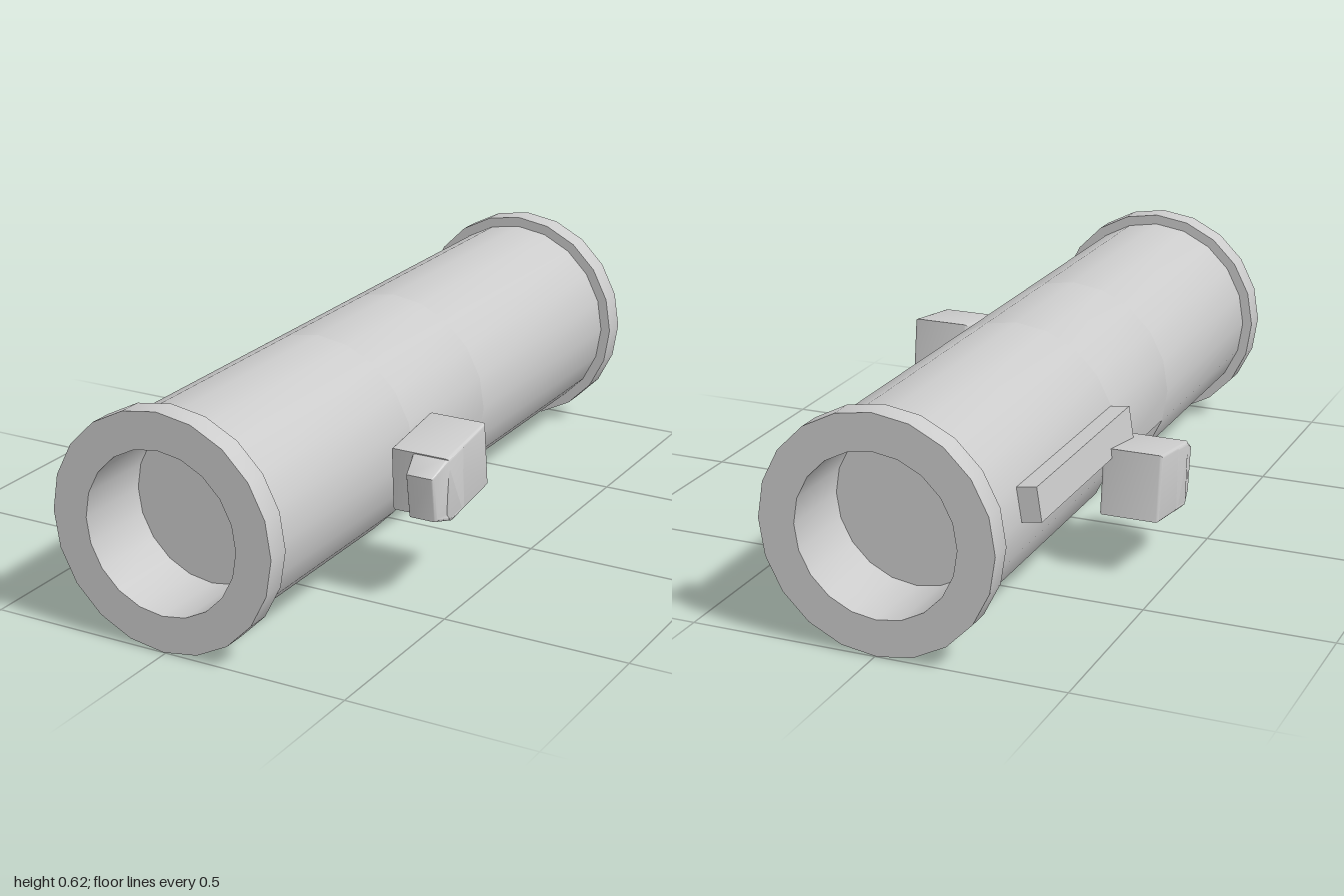
import * as THREE from 'three';
import { toCreasedNormals } from 'three/addons/utils/BufferGeometryUtils.js';

const SIDES = 20, BODY_R = 0.283, RIM_R = 0.311, BORE_R = 0.214;
const AXIS_X = -0.006, AXIS_Y = 0.314;
const NOTCH_FRONT = 0.255, NOTCH_BACK = -0.15;

export function createModel() {
  const group = new THREE.Group();
  const grey = new THREE.MeshStandardMaterial({ color: 0xcccccc });
  const add = (parent, name, geometry, crease = 0.6) => {
    const mesh = new THREE.Mesh(toCreasedNormals(geometry, crease), grey);
    mesh.name = name;
    parent.add(mesh);
    return mesh;
  };

  // Round body, centred on its own long axis
  const body = new THREE.Group();
  body.name = 'body';
  body.position.set(AXIS_X, AXIS_Y, 0);
  group.add(body);

  // Solid end section with a raised rim and a blind round recess
  const endSection = (name, start, turn) => {
    const profile = [
      [0, start], [BODY_R, start], [BODY_R, 0.935], [RIM_R, 0.935],
      [RIM_R, 1], [BORE_R, 1], [BORE_R, 0.78], [0, 0.78],
    ].map(([r, z]) => new THREE.Vector2(r, z));
    add(body, name, new THREE.LatheGeometry(profile, SIDES).rotateX(turn));
  };
  endSection('frontSection', NOTCH_FRONT, Math.PI / 2);
  endSection('backSection', -NOTCH_BACK, -Math.PI / 2);

  // Upper shell over the notch, with a shallow gabled underside
  const section = [];
  for (let i = -1; i <= SIDES / 2 + 1; i++) {
    const a = (i / SIDES) * Math.PI * 2;
    section.push(new THREE.Vector2(BODY_R * Math.cos(a), BODY_R * Math.sin(a)));
  }
  section.push(new THREE.Vector2(0, 0.01));
  const length = NOTCH_FRONT - NOTCH_BACK;
  const shell = new THREE.ExtrudeGeometry(new THREE.Shape(section), { depth: length, bevelEnabled: false });
  add(body, 'notchRoof', shell.translate(0, 0, NOTCH_BACK), 0.33);

  // Rod running across the notch
  const rod = new THREE.CylinderGeometry(0.045, 0.045, length, 16).rotateX(Math.PI / 2);
  add(body, 'notchRod', rod.translate(0, -0.005, (NOTCH_FRONT + NOTCH_BACK) / 2));

  // Side profile [z, y] extruded between two x positions, with softened edges
  const slab = (points, x0, x1, bevel) => {
    const shape = new THREE.Shape(points.map(([z, y]) => new THREE.Vector2(z, y)));
    return new THREE.ExtrudeGeometry(shape, {
      depth: x1 - x0 - 2 * bevel, bevelThickness: bevel, bevelSize: bevel,
      bevelOffset: -bevel, bevelSegments: 3,
    }).rotateY(-Math.PI / 2).translate(x1 - bevel, 0, 0);
  };

  // Tilted side pod: a block with a narrower tapered nose on its outer half
  const sidePod = (name, side, dy, dz) => {
    const pod = new THREE.Group();
    pod.name = name;
    pod.position.set(0, dy, dz);
    group.add(pod);
    const range = (a, b) => (side > 0 ? [a, b] : [-b, -a]);
    const block = [[0.218, 0.262], [0.41, 0.235], [0.435, 0.24], [0.445, 0.408], [0.24, 0.437]];
    add(pod, 'podBlock', slab(block, ...range(0.315, 0.477), 0.008));

    const nose = [[0.35, 0.245], [0.42, 0.235], [0.485, 0.252], [0.504, 0.372], [0.44, 0.408], [0.36, 0.418]];
    const noseGeometry = slab(nose, ...range(0.375, 0.478), 0.008);
    const p = noseGeometry.attributes.position;
    const middle = side * 0.428;
    for (let i = 0; i < p.count; i++) {
      if (p.getZ(i) > 0.46) p.setX(i, middle + (p.getX(i) - middle) * 0.75);
    }
    add(pod, 'podNose', noseGeometry);
  };
  sidePod('leftPod', 1, 0, 0);
  sidePod('rightPod', -1, -0.092, -0.55);

  // Long rail on the right flank, leaning with the body
  const rail = add(group, 'sideRail', new THREE.BoxGeometry(0.06, 0.09, 0.625));
  rail.position.set(-0.305, 0.36, -0.467);
  rail.rotation.z = -0.15;

  return group;
}
